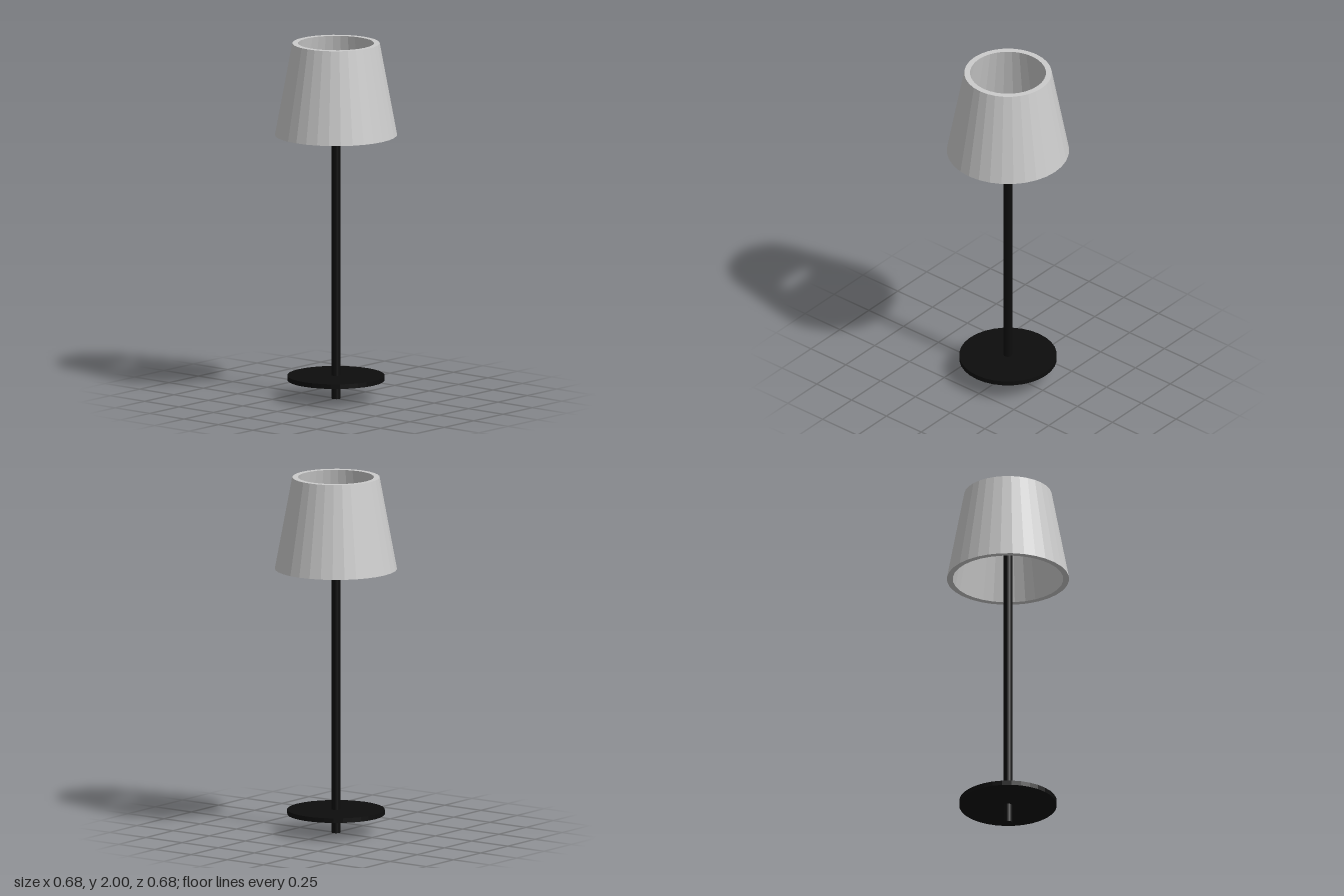
import * as THREE from 'three';

export function createModel() {
  const lamp = new THREE.Group();
  lamp.name = 'floorLamp';

  const fabric = new THREE.MeshStandardMaterial({ color: 0xcccccc, flatShading: true });
  const metal = new THREE.MeshStandardMaterial({ color: 0x0d0d0d, flatShading: true });

  function add(name, geometry, material, y = 0) {
    const mesh = new THREE.Mesh(geometry, material);
    mesh.name = name;
    mesh.position.y = y;
    lamp.add(mesh);
  }

  // Thick tapered shade, open at both ends: outside up, inside down, closed at the rims
  const profile = [
    [0.338, 1.485], [0.242, 2], [0.21, 2], [0.306, 1.485], [0.338, 1.485],
  ].map(([r, y]) => new THREE.Vector2(r, y));
  add('shade', new THREE.LatheGeometry(profile, 32), fabric);

  // Pole runs through the base disc and ends inside the shade
  const poleTop = 1.75;
  add('pole', new THREE.CylinderGeometry(0.024, 0.024, poleTop, 16), metal, poleTop / 2);

  // Flat base disc, raised above the foot of the pole
  add('baseDisc', new THREE.CylinderGeometry(0.27, 0.27, 0.026, 32), metal, 0.118);

  return lamp;
}
